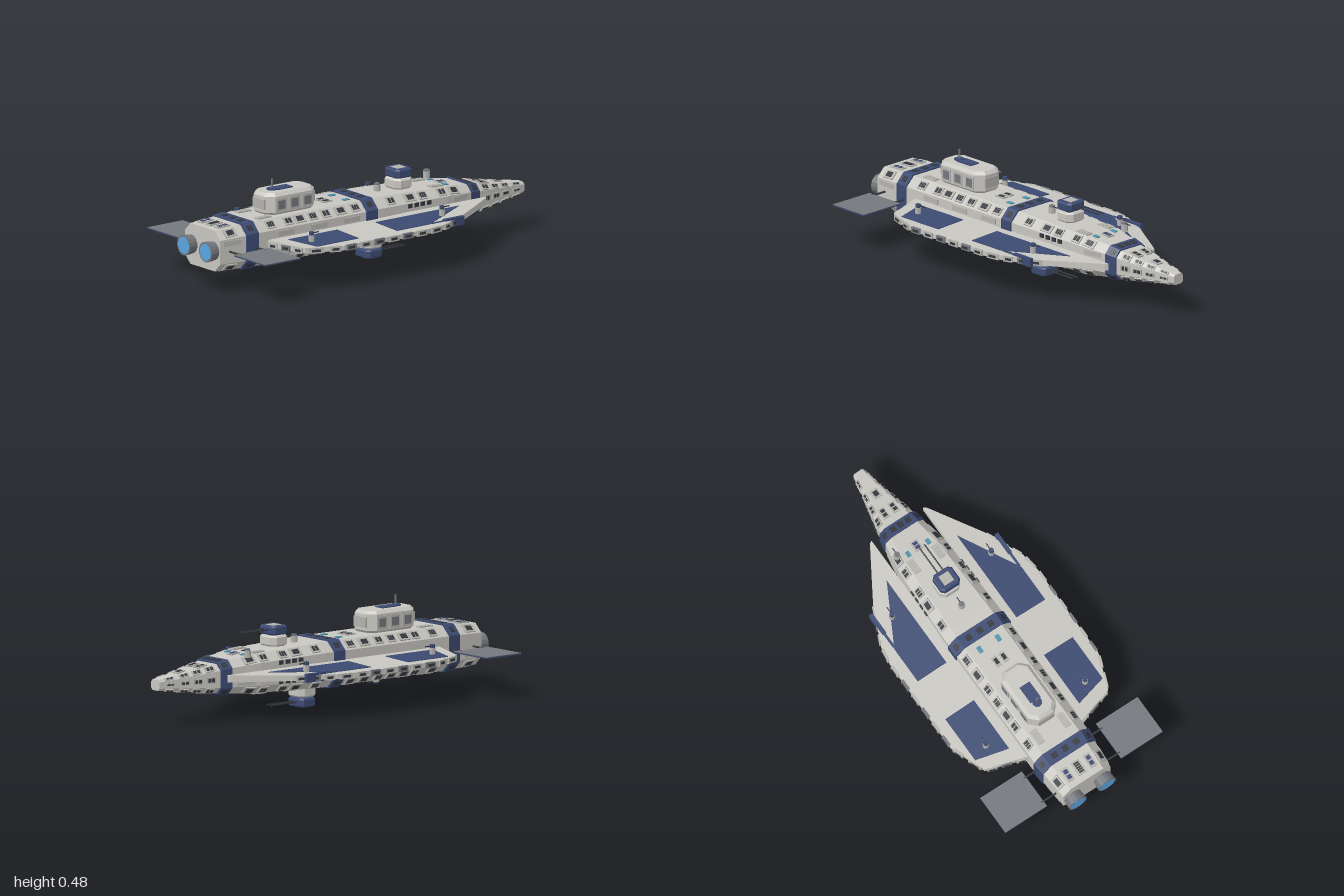
import * as THREE from 'three';

const mat = (color) => new THREE.MeshStandardMaterial({ color, flatShading: true, side: THREE.DoubleSide });
const HULL = mat(0xc8c6c0), LIGHT = mat(0xb4b3ae), GREY = mat(0x74777d), DARK = mat(0x34373e);
const NAVY = mat(0x3c4a72), BLUE = mat(0x5aa6e2), TEAL = mat(0x4f94ad);

// hull stations: z, half width, bottom, top
const STATIONS = [
  [-1, 0.03, 0.177, 0.23], [-0.9, 0.047, 0.165, 0.243], [-0.67, 0.098, 0.138, 0.28], [-0.6, 0.112, 0.13, 0.293],
  [-0.45, 0.138, 0.118, 0.31], [-0.05, 0.155, 0.103, 0.325], [0.73, 0.155, 0.103, 0.325], [0.95, 0.138, 0.111, 0.314],
];

// eight-sided hull section at z, counter-clockwise seen from +z
function section(z, grow = 0) {
  let k = 0;
  while (k < STATIONS.length - 2 && z > STATIONS[k + 1][0]) k++;
  const a = STATIONS[k], b = STATIONS[k + 1], t = (z - a[0]) / (b[0] - a[0]);
  const [hw, bot, top] = [1, 2, 3].map((i) => a[i] + (b[i] - a[i]) * t);
  const w = hw + grow, lo = bot - grow, hi = top + grow;
  const fx = w - 0.31 * hw, cy = 0.21 * (hi - lo);
  return [[w, lo + cy], [w, hi - cy], [fx, hi], [-fx, hi], [-w, hi - cy], [-w, lo + cy], [-fx, lo], [fx, lo]]
    .map(([x, y]) => new THREE.Vector3(x, y, z));
}

// skin over hull sections at the given z values, capped at both ends
function loft(zs, grow) {
  const rings = zs.map((z) => section(z, grow)), pts = [];
  for (let r = 0; r < rings.length - 1; r++) {
    for (let i = 0; i < 8; i++) {
      const j = (i + 1) % 8, p = rings[r], q = rings[r + 1];
      pts.push(p[i], p[j], q[i], p[j], q[j], q[i]);
    }
  }
  const first = rings[0], last = rings[rings.length - 1];
  for (let i = 1; i < 7; i++) pts.push(first[0], first[i + 1], first[i], last[0], last[i], last[i + 1]);
  const g = new THREE.BufferGeometry().setFromPoints(pts);
  g.computeVertexNormals();
  return g;
}

// block with cut plan corners and bevelled top and bottom
function chamferBlock(w, h, d, cut, bevel) {
  const x = w / 2 - bevel, y = d / 2 - bevel, c = cut;
  const s = new THREE.Shape([[x, c - y], [x, y - c], [x - c, y], [c - x, y], [-x, y - c], [-x, c - y], [c - x, -y], [x - c, -y]]
    .map((p) => new THREE.Vector2(...p)));
  const g = new THREE.ExtrudeGeometry(s, { depth: h - 2 * bevel, bevelEnabled: true, bevelSize: bevel, bevelThickness: bevel, bevelSegments: 1 });
  return g.rotateX(-Math.PI / 2).center();
}

// flat slab from [x, z] outline; its top slopes down toward the wing tip
const wingTop = (x) => 0.235 - 0.045 * (Math.abs(x) - 0.155);
function slab(outline, side, low, lift) {
  const s = new THREE.Shape(outline.map(([x, z]) => new THREE.Vector2(x * side, -z)));
  const g = new THREE.ExtrudeGeometry(s, { depth: 1, bevelEnabled: false }).rotateX(-Math.PI / 2);
  const p = g.attributes.position;
  for (let i = 0; i < p.count; i++) p.setY(i, p.getY(i) > 0.5 ? wingTop(p.getX(i)) + lift : low);
  g.computeVertexNormals();
  return g;
}

export function createModel() {
  const root = new THREE.Group();
  const add = (name, geo, m, x = 0, y = 0, z = 0, parent = root) => {
    const mesh = new THREE.Mesh(geo, m);
    mesh.name = name;
    mesh.position.set(x, y, z);
    parent.add(mesh);
    return mesh;
  };
  const box = (name, m, w, h, d, x, y, z) => add(name, new THREE.BoxGeometry(w, h, d), m, x, y, z);
  const rod = (name, m, r, len, x, y, z, axis = 'y', sides = 8, r2 = r) => {
    const g = new THREE.CylinderGeometry(r, r2, len, sides);
    if (axis === 'z') g.rotateX(Math.PI / 2);
    if (axis === 'x') g.rotateZ(Math.PI / 2);
    return add(name, g, m, x, y, z);
  };
  // box laid on hull facet f at z; u runs across the facet
  const plate = (name, m, f, z, u, w, h, len) => {
    const at = (zz) => { const s = section(zz); return s[f].clone().lerp(s[(f + 1) % 8], u); };
    const s = section(z), t = s[(f + 1) % 8].clone().sub(s[f]).normalize();
    const n = t.clone().cross(at(z + 0.01).sub(at(z - 0.01))).normalize();
    const mesh = add(name, new THREE.BoxGeometry(w, h, len), m);
    mesh.quaternion.setFromRotationMatrix(new THREE.Matrix4().makeBasis(t, n, t.clone().cross(n)));
    mesh.position.copy(at(z));
  };
  // light frame with dark slats
  const hatch = (f, z, u, w, len, slats = 1, inner = DARK) => {
    plate('hatchFrame', LIGHT, f, z, u, w, 0.012, len);
    const pitch = len * 0.8 / slats;
    for (let i = 0; i < slats; i++) plate('hatchInset', inner, f, z + (i - (slats - 1) / 2) * pitch, u, w * 0.6, 0.016, pitch * 0.72);
  };

  // hull and coloured bands
  add('hull', loft(STATIONS.map((s) => s[0]), 0), HULL);
  for (const [a, b] of [[-0.67, -0.61], [0, 0.068], [0.73, 0.8]]) {
    add('hullBand', loft([a, b], 0.006), NAVY);
    for (const f of [1, 2, 3, 5, 6, 7]) {
      for (const u of f % 4 === 2 ? [0.2, 0.5, 0.8] : [0.5]) plate('bandPad', DARK, f, (a + b) / 2, u, 0.03, 0.018, 0.03);
    }
  }

  // rows of hatches on the chamfers
  [-0.5, -0.42, -0.3, -0.22, -0.1, 0.12, 0.21, 0.3, 0.38, 0.46, 0.53, 0.64, 0.88].forEach((z, i) => {
    for (const f of [1, 3, 5, 7]) hatch(f, z, 0.5, 0.045, i % 3 === 0 ? 0.066 : 0.05, 1 + (i % 3));
  });
  // nose hatches
  [-0.94, -0.86, -0.79, -0.72].forEach((z, i) => {
    for (const f of [0, 1, 3, 4, 5, 7]) hatch(f, z, 0.5, 0.014 + 0.006 * i, 0.05, 2);
  });
  for (const f of [2, 6]) {
    hatch(f, -0.85, 0.5, 0.04, 0.05);
    for (const u of [0.25, 0.75]) {
      hatch(f, -0.74, u, 0.034, 0.06, 2);
      hatch(f, -0.42, u < 0.5 ? 0.13 : 0.87, 0.036, 0.075, 3, LIGHT);
      hatch(f, 0.21, u < 0.5 ? 0.4 : 0.6, 0.03, 0.055);
      hatch(f, 0.64, u < 0.5 ? 0.14 : 0.86, 0.035, 0.08, 3, LIGHT);
      hatch(f, 0.88, u < 0.5 ? 0.17 : 0.83, 0.036, 0.075, 2, NAVY);
      plate('window', TEAL, f, -0.49, u < 0.5 ? 0.18 : 0.82, 0.02, 0.01, 0.03);
      plate('window', TEAL, f, 0.115, u, 0.022, 0.01, 0.035);
    }
    hatch(f, -0.505, 0.5, 0.04, 0.055, 2, NAVY);
    hatch(f, 0.88, 0.5, 0.045, 0.075, 5);
  }
  // belly vents
  for (const z of [-0.4, -0.22, 0.15, 0.3, 0.5, 0.62]) for (const u of [0.2, 0.8]) hatch(6, z, u, 0.05, 0.07, 3);
  // flank ports above and below the wing
  for (const f of [0, 4]) {
    for (let i = 0; i < 4; i++) for (const u of [0.1, 0.9]) plate('flankPort', DARK, f, -0.325 + i * 0.04, u, 0.02, 0.012, 0.024);
    for (const z of [-0.53, 0.16, 0.36, 0.56, 0.88]) plate('flankPanel', LIGHT, f, z, 0.82, 0.025, 0.008, 0.1);
  }

  // engines
  for (const s of [-1, 1]) {
    rod('engineNozzle', GREY, 0.051, 0.05, s * 0.085, 0.213, 0.974, 'z', 16, 0.046);
    rod('engineGlow', BLUE, 0.042, 0.006, s * 0.085, 0.213, 0.997, 'z', 24);
  }

  const wing = [[0.15, -0.67], [0.165, -0.66], [0.325, -0.4], [0.415, -0.2], [0.43, -0.1], [0.43, 0.42], [0.4, 0.5], [0.36, 0.605], [0.15, 0.672]];
  const forePanel = [[0.205, -0.46], [0.372, -0.15], [0.372, 0.05], [0.205, 0.05]];
  const aftPanel = [[0.205, 0.285], [0.372, 0.285], [0.372, 0.54], [0.205, 0.585]];
  for (const s of [-1, 1]) {
    // wing, its colour panels and edge blocks
    add('wing', slab(wing, s, 0.2, 0), HULL);
    add('wingForePanel', slab(forePanel, s, 0.21, 0.003), NAVY);
    add('wingAftPanel', slab(aftPanel, s, 0.21, 0.003), NAVY);
    for (let k = 2; k < 8; k++) {
      const a = wing[k], b = wing[k + 1], dx = b[0] - a[0], dz = b[1] - a[1], len = Math.hypot(dx, dz);
      const n = Math.max(1, Math.round(len / 0.085));
      for (let i = 0; i < n; i++) {
        const t = (i + 0.5) / n, l = len / n * 0.68;
        const block = box('wingEdgeBlock', i % 2 ? GREY : LIGHT, 0.014, 0.028, l, s * (a[0] + dx * t), 0.21, a[1] + dz * t);
        const slot = box('wingEdgeSlot', DARK, 0.018, 0.012, l * 0.6, block.position.x, 0.21, block.position.z);
        block.rotation.y = slot.rotation.y = s * Math.atan2(dx, dz);
      }
    }
    // wing turrets
    for (const z of [-0.29, 0.51]) {
      rod('wingTurretBase', LIGHT, 0.015, 0.034, s * 0.29, 0.246, z);
      rod('wingTurretHead', NAVY, 0.013, 0.016, s * 0.29, 0.271, z);
      rod('wingTurretBarrel', DARK, 0.003, 0.04, s * 0.29, 0.272, z - 0.025, 'z', 6);
    }
    // side gun pods
    box('gunPod', NAVY, 0.02, 0.042, 0.12, s * 0.367, 0.214, -0.3);
    box('gunPodTail', NAVY, 0.012, 0.03, 0.08, s * 0.367, 0.214, -0.2);
    // solar panels on struts
    box('solarPanel', NAVY, 0.243, 0.006, 0.215, s * 0.338, 0.209, 0.818);
    box('solarPanelTop', GREY, 0.243, 0.003, 0.215, s * 0.338, 0.2135, 0.818);
    for (const z of [0.745, 0.895]) rod('solarStrut', DARK, 0.005, 0.1, s * 0.18, 0.211, z, 'x', 6);
  }

  // command tower
  add('tower', chamferBlock(0.16, 0.112, 0.305, 0.03, 0.016), HULL, 0, 0.376, 0.452);
  box('towerRoofPanel', NAVY, 0.058, 0.008, 0.095, 0, 0.433, 0.465);
  for (const s of [-1, 1]) {
    for (const z of [0.37, 0.45, 0.53]) {
      box('towerFrame', LIGHT, 0.01, 0.065, 0.062, s * 0.079, 0.374, z);
      box('towerWindow', GREY, 0.014, 0.042, 0.042, s * 0.079, 0.374, z);
    }
    box('towerEndFrame', LIGHT, 0.09, 0.05, 0.01, 0, 0.376, 0.452 + s * 0.151);
  }
  rod('antennaBase', NAVY, 0.025, 0.01, 0, 0.435, 0.525);
  rod('antenna', GREY, 0.005, 0.055, 0, 0.458, 0.525, 'y', 6);

  // main turrets above and below
  const turret = (z, baseY, headY, tip, dir) => {
    add('turretBase', chamferBlock(0.12, 0.052, 0.11, 0.02, 0.008), HULL, 0, baseY, z);
    add('turretHead', chamferBlock(0.112, 0.044, 0.1, 0.012, 0.007), NAVY, 0, headY, z);
    box('turretCap', LIGHT, 0.055, 0.004, 0.055, 0, headY + dir * 0.0215, z);
    for (const s of [-1, 1]) rod('turretBarrel', DARK, 0.004, z - tip, s * 0.015, headY + 0.003, (z + tip) / 2, 'z', 6);
  };
  turret(-0.25, 0.347, 0.398, -0.46, 1);
  turret(-0.07, 0.079, 0.026, -0.28, -1);

  // small turrets and sensor
  for (const [x, y, z, d] of [[0, 0.335, -0.12, 1], [0, 0.092, 0.4, -1], [-0.11, 0.318, -0.51, 1]]) {
    rod('smallTurretBase', LIGHT, 0.017, 0.036, x, y, z);
    rod('smallTurretHead', d > 0 ? GREY : NAVY, 0.014, 0.012, x, y + d * 0.02, z);
    rod('smallTurretBarrel', DARK, 0.003, 0.035, x, y + d * 0.02, z - 0.022, 'z', 6);
  }
  return root;
}
